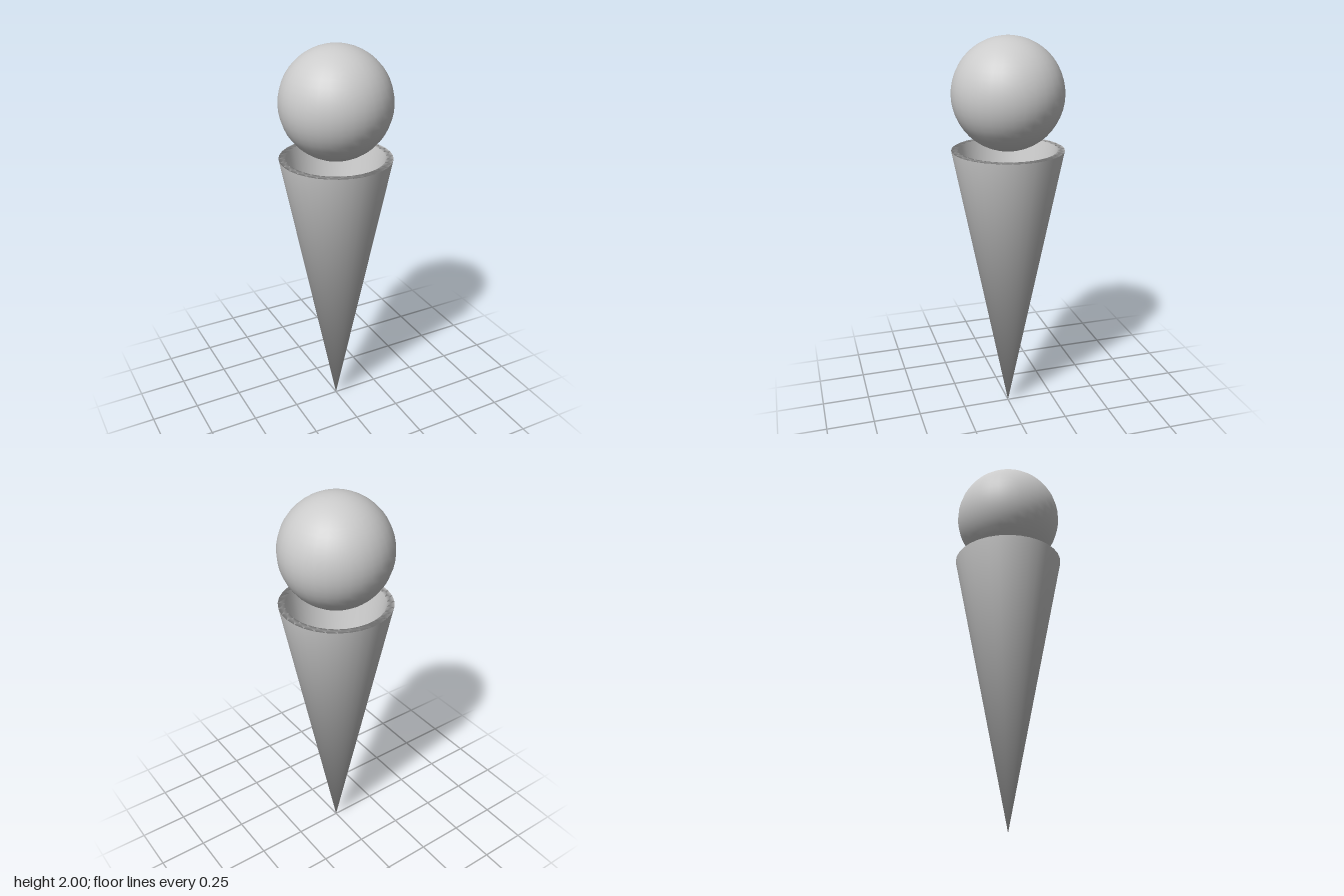
import * as THREE from 'three';
import { mergeVertices } from 'three/addons/utils/BufferGeometryUtils.js';

const SEGMENTS = 32;
const RIM_Y = 1.445;
const RIM_RADIUS = 0.283;
const WALL = 0.036;
const SCOOP_RADIUS = 0.2785;

// Weld a geometry so that its normals are smooth across every edge
function weldSmooth(geometry) {
  geometry.deleteAttribute('normal');
  geometry.deleteAttribute('uv');
  const welded = mergeVertices(geometry);
  welded.computeVertexNormals();
  return welded;
}

export function createModel() {
  const model = new THREE.Group();
  model.name = 'iceCreamCone';
  const material = new THREE.MeshStandardMaterial({ color: 0xcccccc });

  // Hollow cone: outer wall, flat rim, then the inner wall down to its own tip
  const innerTipY = RIM_Y * WALL / RIM_RADIUS;
  const profile = [
    [0, 0],
    [RIM_RADIUS, RIM_Y],
    [RIM_RADIUS - WALL, RIM_Y],
    [0, innerTipY],
  ].map(([r, y]) => new THREE.Vector2(r, y));
  const cone = new THREE.Mesh(weldSmooth(new THREE.LatheGeometry(profile, SEGMENTS)), material);
  cone.name = 'cone';

  // Scoop resting level with the rim
  const scoop = new THREE.Mesh(new THREE.SphereGeometry(SCOOP_RADIUS, SEGMENTS, 24), material);
  scoop.name = 'scoop';
  scoop.position.y = 2 - SCOOP_RADIUS;

  model.add(cone, scoop);
  return model;
}
